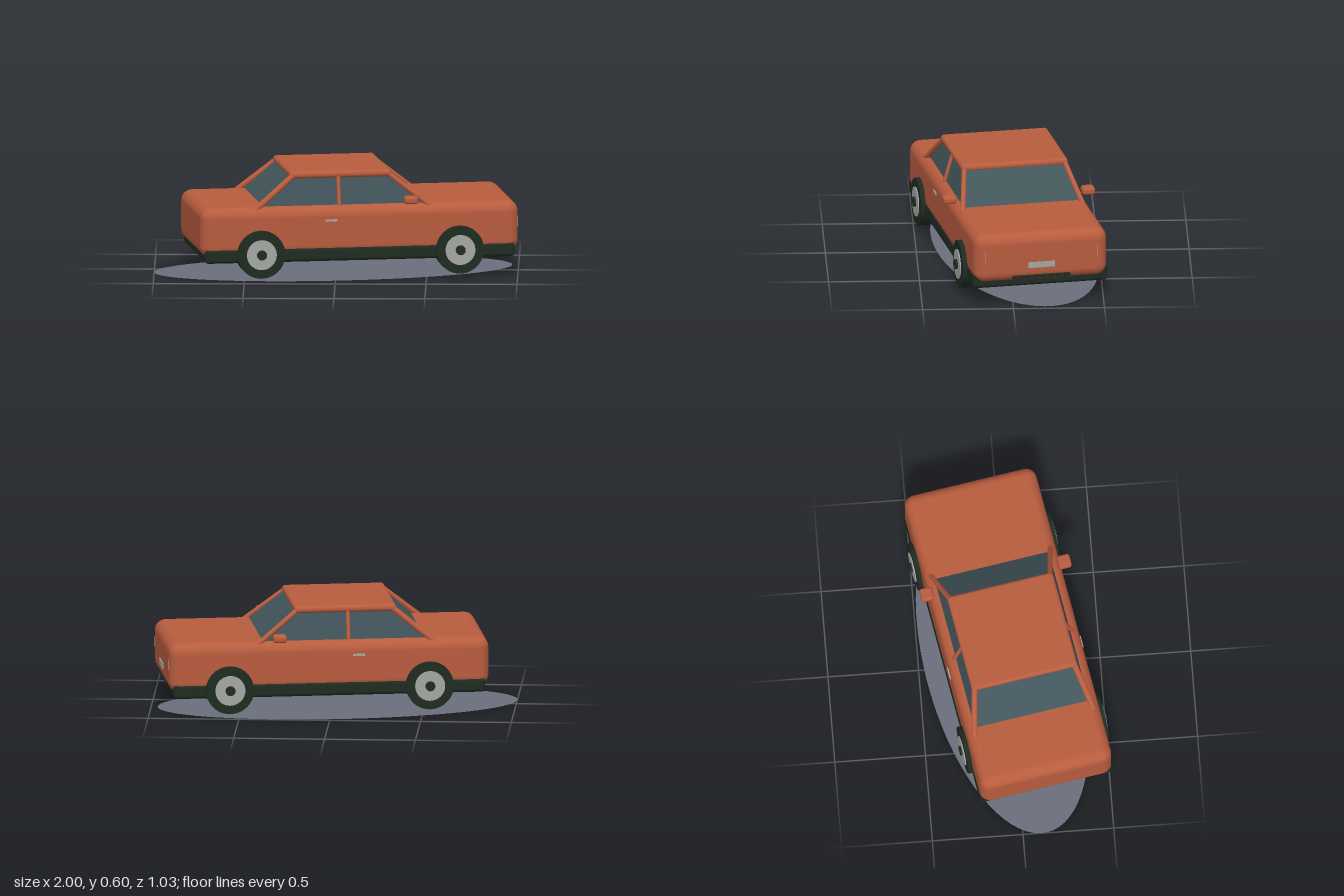
import * as THREE from 'three';
import { RoundedBoxGeometry } from 'three/addons/geometries/RoundedBoxGeometry.js';

const flat = (name, color, side = THREE.FrontSide) =>
  Object.assign(new THREE.MeshStandardMaterial({ color, side }), { name });

export function createModel() {
  const paint = flat('rust paint', 0xb85c3e);
  const dark = flat('dark rubber', 0x1f2b21);
  const glass = flat('tinted glass', 0x42565b);
  const metal = flat('light metal', 0xa3a7a3);
  const ground = flat('shadow grey', 0x6a6f7b, THREE.DoubleSide);

  const model = new THREE.Group();
  model.name = 'sedan';

  // The car is built along x, then turned a little on its ground disc
  const car = new THREE.Group();
  car.name = 'car';
  car.position.set(0.072, 0, -0.002);
  car.rotation.y = THREE.MathUtils.degToRad(10);
  model.add(car);

  const add = (name, geometry, material, x = 0, y = 0, z = 0) => {
    const mesh = new THREE.Mesh(geometry, material);
    mesh.name = name;
    mesh.position.set(x, y, z);
    car.add(mesh);
    return mesh;
  };
  const rounded = (w, h, d, r) => new RoundedBoxGeometry(w, h, d, 5, r);

  // Straight round bar between two points
  const bar = (name, a, b, r) => {
    const from = new THREE.Vector3(...a), to = new THREE.Vector3(...b);
    const dir = to.clone().sub(from);
    const mesh = add(name, new THREE.CylinderGeometry(r, r, dir.length(), 16), paint);
    mesh.position.copy(from).add(to).multiplyScalar(0.5);
    mesh.quaternion.setFromUnitVectors(new THREE.Vector3(0, 1, 0), dir.normalize());
  };

  // Body, lower skirt and roof
  add('body', rounded(1.77, 0.277, 0.746, 0.06), paint, 0, 0.2785, 0);
  add('skirt', rounded(1.724, 0.08, 0.752, 0.02), dark, 0, 0.15, 0);
  add('roof', rounded(0.565, 0.04, 0.6, 0.019), paint, -0.097, 0.58, 0);

  // Glass cabin: a box whose top is drawn in
  const cabin = new THREE.BoxGeometry(1, 1, 1);
  const p = cabin.attributes.position;
  for (let i = 0; i < p.count; i++) {
    const top = p.getY(i) > 0, front = p.getX(i) > 0;
    const x = front ? (top ? 0.175 : 0.385) : (top ? -0.37 : -0.55);
    p.setXYZ(i, x, top ? 0.575 : 0.4, Math.sign(p.getZ(i)) * (top ? 0.283 : 0.328));
  }
  cabin.computeVertexNormals();
  add('windows', cabin, glass);

  // Pillars, mirrors and handles on both sides
  for (const s of [1, -1]) {
    bar('frontPillar', [0.172, 0.575, s * 0.283], [0.395, 0.4, s * 0.338], 0.014);
    bar('middlePillar', [-0.11, 0.575, s * 0.287], [-0.11, 0.4, s * 0.336], 0.011);
    bar('rearPillar', [-0.362, 0.575, s * 0.283], [-0.578, 0.4, s * 0.338], 0.017);
    add('mirror', rounded(0.075, 0.042, 0.072, 0.015), paint, 0.278, 0.443, s * 0.39);
    add('doorHandle', new THREE.BoxGeometry(0.066, 0.012, 0.012), metal, -0.162, 0.337, s * 0.373);
    add('headlampStrip', new THREE.BoxGeometry(0.006, 0.06, 0.003), metal, 0.884, 0.295, s * 0.313);
  }

  // Front plate and lower grille slot
  add('frontPlate', new THREE.BoxGeometry(0.009, 0.032, 0.15), metal, 0.886, 0.237, 0);
  const slot = add('grilleSlot', rounded(0.03, 0.019, 0.33, 0.009), dark, 0.873, 0.171, 0);
  slot.scale.x = 1;

  // Wheels: tyre, rim ring and hub cap
  for (const x of [-0.553, 0.553]) {
    for (const s of [1, -1]) {
      const wheel = new THREE.Group();
      wheel.name = 'wheel';
      wheel.position.set(x, 0.158, s * 0.352);
      car.add(wheel);
      const disc = (name, r, depth, out, material) => {
        const mesh = new THREE.Mesh(new THREE.CylinderGeometry(r, r, depth, 40), material);
        mesh.name = name;
        mesh.rotation.x = Math.PI / 2;
        mesh.position.z = s * (out - depth / 2);
        wheel.add(mesh);
      };
      disc('tyre', 0.132, 0.094, 0.047, dark);
      disc('rim', 0.083, 0.03, 0.053, metal);
      disc('hub', 0.027, 0.04, 0.064, dark);
    }
  }

  // Flat oval on the ground
  const oval = add('groundOval', new THREE.CircleGeometry(1, 72), ground, -0.082, 0, -0.052);
  oval.rotation.x = -Math.PI / 2;
  oval.scale.set(0.995, 0.422, 1);

  return model;
}
